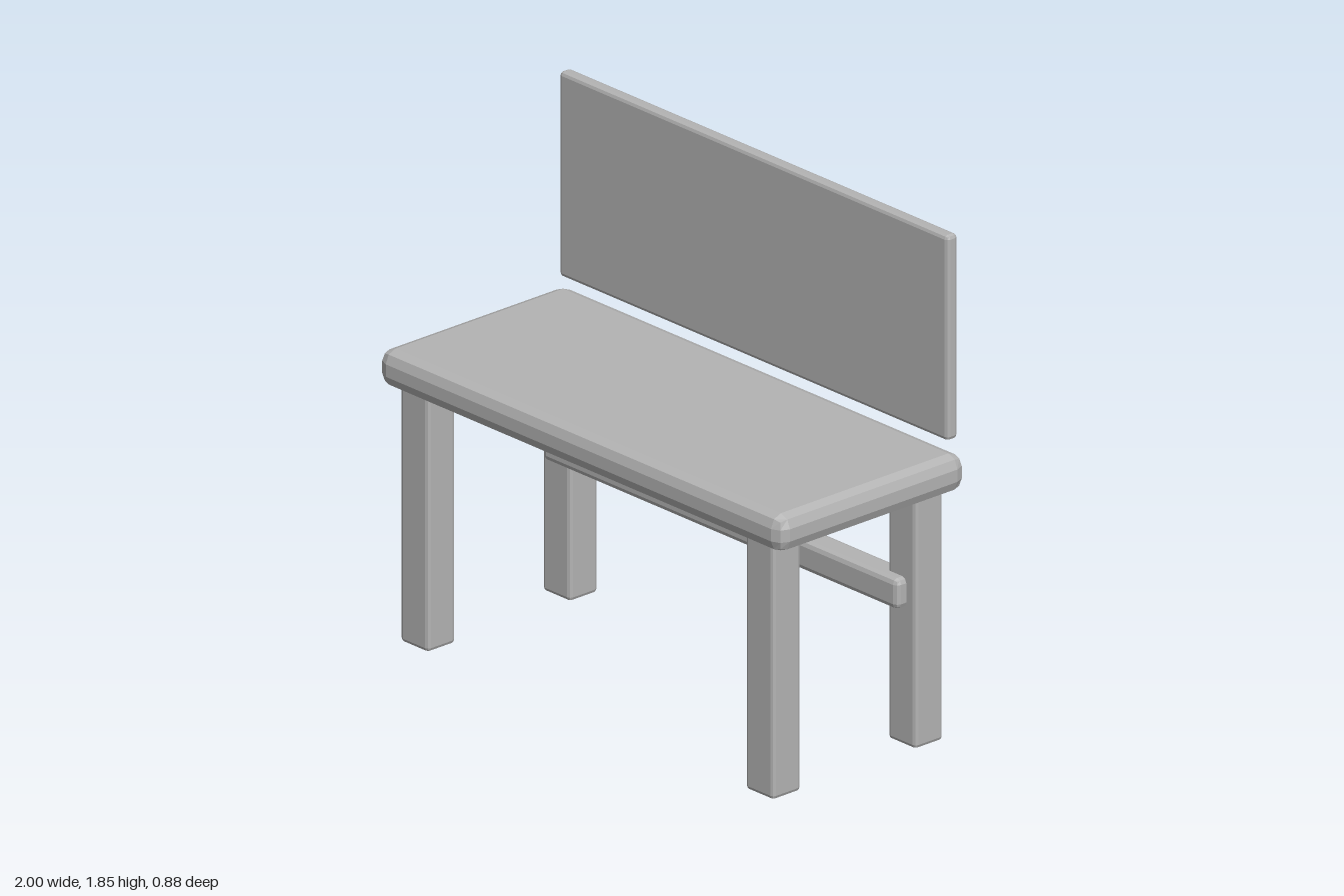
import * as THREE from 'three';
import { RoundedBoxGeometry } from 'three/addons/geometries/RoundedBoxGeometry.js';

export function createModel() {
  const model = new THREE.Group();
  model.name = 'workbench';
  const grey = new THREE.MeshStandardMaterial({ color: 0xb3b3b3 });
  grey.name = 'plain grey';

  const add = (name, geometry, x, y, z) => {
    const mesh = new THREE.Mesh(geometry, grey);
    mesh.name = name;
    mesh.position.set(x, y, z);
    model.add(mesh);
    return mesh;
  };

  // Box with faceted bevels, given by its min and max on each axis
  const bevelBox = (name, [x0, x1], [y0, y1], [z0, z1], radius) => {
    const g = new RoundedBoxGeometry(x1 - x0, y1 - y0, z1 - z0, 1, radius);
    g.computeVertexNormals();
    return add(name, g, (x0 + x1) / 2, (y0 + y1) / 2, (z0 + z1) / 2);
  };

  // Thick table top
  bevelBox('tableTop', [-1, 1], [0.918, 1.053], [-0.412, 0.437], 0.045);

  // Four legs
  for (const [side, x0, x1] of [['left', 0.787, 0.925], ['right', -0.925, -0.787]]) {
    bevelBox(side + 'FrontLeg', [x0, x1], [0, 0.95], [0.273, 0.4], 0.014);
    bevelBox(side + 'BackLeg', [x0, x1], [0, 0.95], [-0.372, -0.245], 0.014);
  }

  // Rail between the back legs
  bevelBox('backRail', [-0.88, 0.88], [0.502, 0.612], [-0.307, -0.202], 0.02);

  // Upright board above the rear edge
  bevelBox('backBoard', [-0.963, 0.963], [1.1, 1.845], [-0.404, -0.355], 0.014);

  // Row of pegs on the rear of the board
  const pegGeometry = new THREE.CylinderGeometry(0.017, 0.017, 0.04, 8).toNonIndexed();
  pegGeometry.computeVertexNormals();
  pegGeometry.rotateX(Math.PI / 2);
  for (let i = 0; i < 8; i++) {
    add('peg' + (i + 1), pegGeometry, -0.763 + i * 0.214, 1.617, -0.417);
  }

  // Thin card hanging from one peg
  add('hangingCard', new THREE.BoxGeometry(0.27, 0.165, 0.006), 0.485, 1.535, -0.435);

  return model;
}
